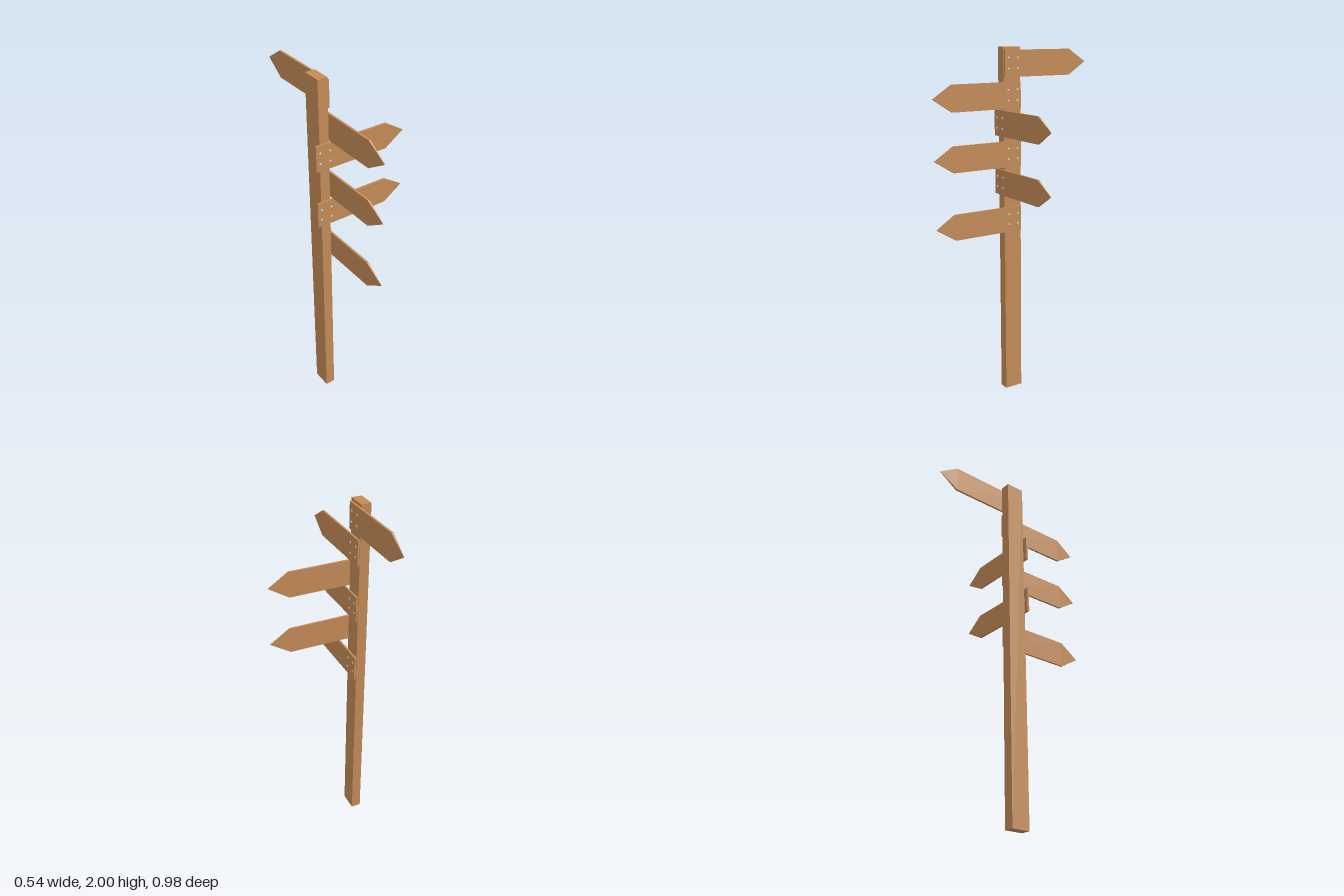
import * as THREE from 'three';
import { ConvexGeometry } from 'three/addons/geometries/ConvexGeometry.js';

const wood = new THREE.MeshStandardMaterial({ color: 0xc48c58, flatShading: true });
const metal = new THREE.MeshStandardMaterial({ color: 0xcccccc });

const LENGTH = 0.54, SHOULDER = 0.425, HALF_HEIGHT = 0.072, THICK = 0.011;

// Arrow board: starts at x = 0, points along +x, back face at z = 0
function boardGeometry() {
  const points = [];
  for (const x of [0, SHOULDER])
    for (const y of [-HALF_HEIGHT, HALF_HEIGHT])
      for (const z of [0, THICK]) points.push(new THREE.Vector3(x, y, z));
  // Tip tapers to a thin edge
  for (const s of [-1, 1]) points.push(new THREE.Vector3(LENGTH, 0, THICK / 2 + s * 0.001));
  return new ConvexGeometry(points);
}

// Low domed screw head facing +z
function screwGeometry() {
  const g = new THREE.SphereGeometry(0.007, 12, 5, 0, Math.PI * 2, 0, Math.PI / 2);
  g.rotateX(Math.PI / 2);
  g.scale(1, 1, 0.6);
  return g;
}

export function createModel() {
  const model = new THREE.Group();
  model.name = 'signpost';

  const post = new THREE.Mesh(new THREE.BoxGeometry(0.055, 2, 0.107), wood);
  post.name = 'post';
  post.position.set(-0.2175, 1, 0);
  model.add(post);

  const boardGeo = boardGeometry();
  const screwGeo = screwGeometry();

  function addSign(name, position, rotation) {
    const sign = new THREE.Group();
    sign.name = name;
    const board = new THREE.Mesh(boardGeo, wood);
    board.name = 'arrowBoard';
    sign.add(board);
    // Four screws where the board crosses the post
    for (const x of [0.023, 0.081])
      for (const y of [-0.029, 0.029]) {
        const screw = new THREE.Mesh(screwGeo, metal);
        screw.name = 'screw';
        screw.position.set(x, y, THICK);
        sign.add(screw);
      }
    sign.position.set(...position);
    sign.rotation.set(...rotation);
    model.add(sign);
  }

  // Boards on the front face, pointing to the left
  for (const y of [1.59, 1.26]) addSign('frontSign', [-0.272, y, 0.0525], [0, 0, 0]);

  // Boards on the left face, pointing forward
  for (const y of [1.742, 1.42, 1.047])
    addSign('sideSign', [-0.19, y, -0.05], [0, Math.PI / 2, Math.PI]);

  // Top board on the left face, pointing backward
  addSign('topSign', [-0.19, 1.912, 0.05], [0, Math.PI / 2, 0]);

  return model;
}
